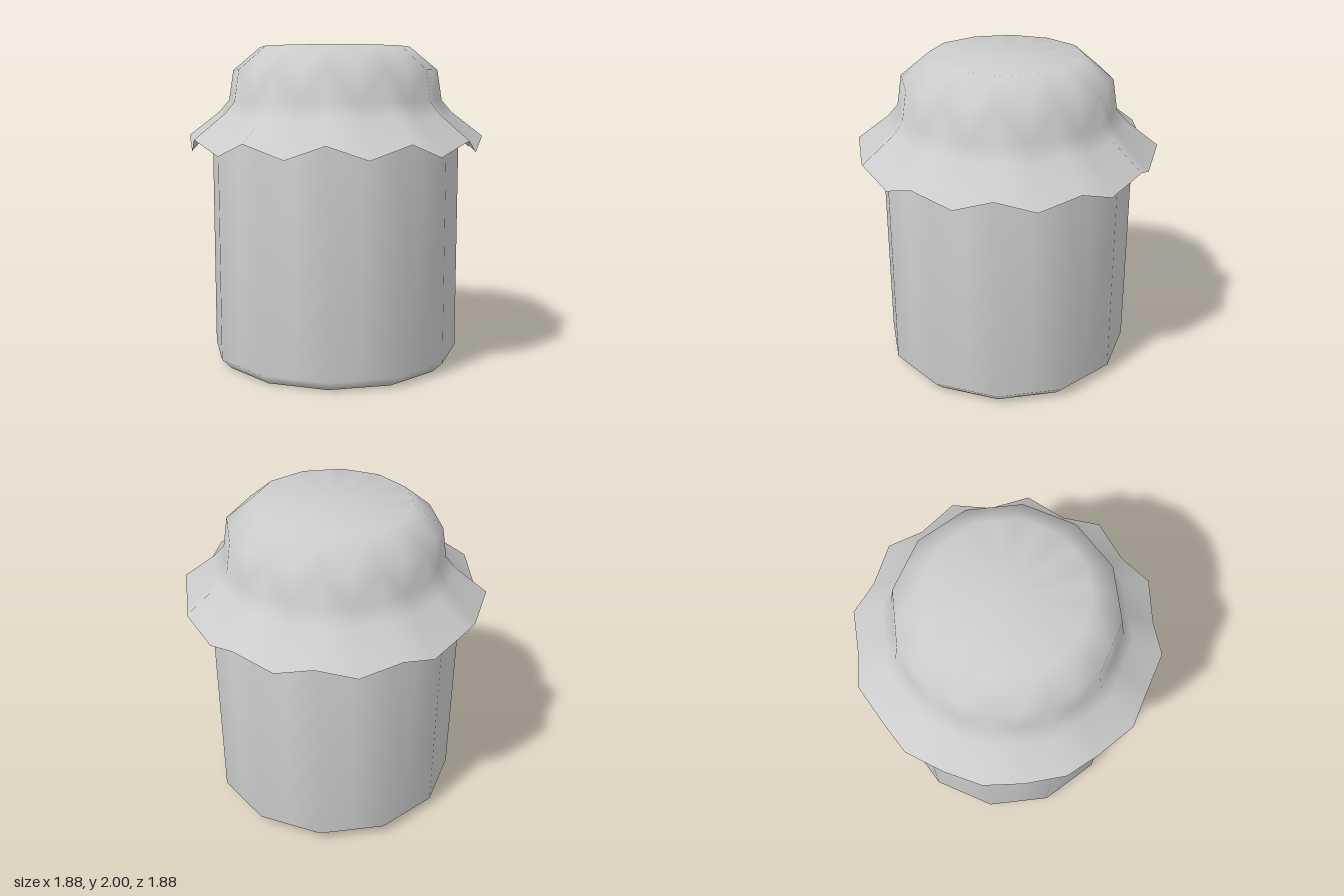
import * as THREE from 'three';

const SIDES = 12;

// Skin of stacked 12-sided rings, listed bottom to top as [radius, cornerY, midY].
// Each side has an extra midpoint, which may sit at its own height to make folds.
function ringSkin(rings) {
  const n = SIDES * 2;
  const positions = [];
  const index = [];
  for (const [r, y, midY = y] of rings) {
    for (let j = 0; j < n; j++) {
      const a = (j / n) * Math.PI * 2;
      const mid = j % 2 === 1;
      const rad = mid ? r * Math.cos(Math.PI / SIDES) : r;
      positions.push(rad * Math.sin(a), mid ? midY : y, rad * Math.cos(a));
    }
  }
  for (let i = 0; i < rings.length - 1; i++) {
    for (let j = 0; j < n; j++) {
      const k = (j + 1) % n;
      const a = i * n + j, b = i * n + k, c = a + n, d = b + n;
      // diagonals run from each upper corner to the lower midpoints
      if (j % 2 === 0) index.push(a, b, c, b, d, c);
      else index.push(a, b, d, a, d, c);
    }
  }
  const geometry = new THREE.BufferGeometry();
  geometry.setAttribute('position', new THREE.Float32BufferAttribute(positions, 3));
  geometry.setIndex(index);
  geometry.computeVertexNormals();
  return geometry;
}

export function createModel() {
  const group = new THREE.Group();
  const material = new THREE.MeshStandardMaterial({ color: 0xcccccc, side: THREE.DoubleSide });

  const add = (name, rings) => {
    const mesh = new THREE.Mesh(ringSkin(rings), material);
    mesh.name = name;
    group.add(mesh);
  };

  // Jar: flat base, bevel, straight wall, shoulder and neck
  add('jarBody', [
    [0, 0], [0.725, 0], [0.79, 0.065], [0.79, 1.48], [0.65, 1.62], [0.6, 1.7],
  ]);

  // Cloth cover: wavy flared hem, gathered neck, rounded top
  add('clothCover', [
    [0.94, 1.44, 1.355], [0.745, 1.59, 1.56], [0.68, 1.665],
    [0.65, 1.855], [0.475, 2], [0, 2],
  ]);

  return group;
}
